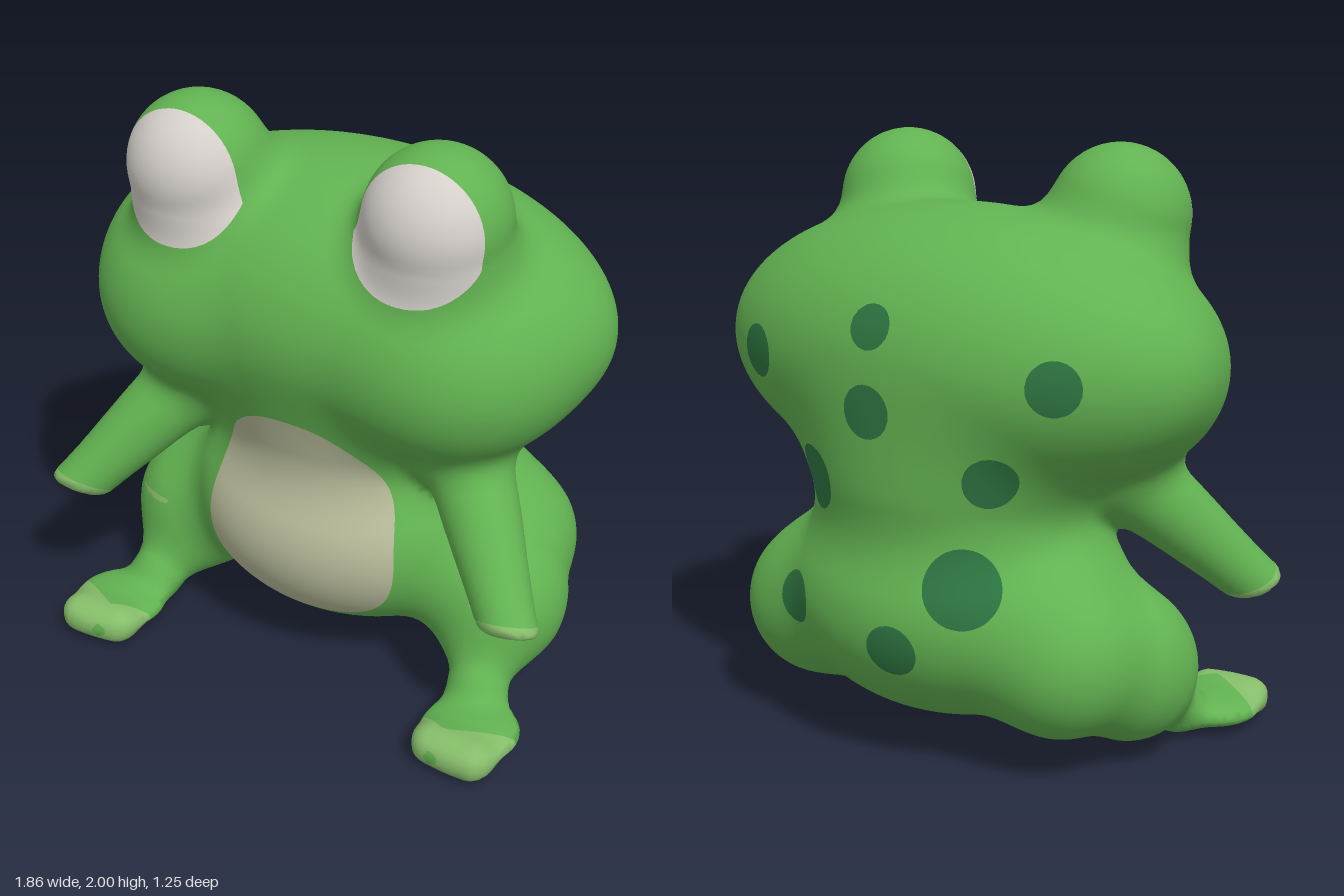
import * as THREE from 'three';
import { mergeVertices } from 'three/addons/utils/BufferGeometryUtils.js';

const V = (x, y, z) => new THREE.Vector3(x, y, z);
const paint = (name, color) => Object.assign(new THREE.MeshStandardMaterial({ color }), { name });

// --- Soft solids: each returns a signed distance, negative inside ---
function ellipsoid(p, cx, cy, cz, rx, ry, rz) {
  const x = (p.x - cx) / rx, y = (p.y - cy) / ry, z = (p.z - cz) / rz;
  const a = Math.hypot(x, y, z), b = Math.hypot(x / rx, y / ry, z / rz) || 1e-6;
  return a * (a - 1) / b;
}
function limb(p, a, b, ra, rb) {
  const dx = b[0] - a[0], dy = b[1] - a[1], dz = b[2] - a[2];
  const x = p.x - a[0], y = p.y - a[1], z = p.z - a[2];
  const t = Math.min(1, Math.max(0, (x * dx + y * dy + z * dz) / (dx * dx + dy * dy + dz * dz)));
  return Math.hypot(x - dx * t, y - dy * t, z - dz * t) - ra - (rb - ra) * t * t * (3 - 2 * t);
}
function blend(a, b, k) {
  const h = Math.max(k - Math.abs(a - b), 0) / k;
  return Math.min(a, b) - h * h * k / 4;
}

// --- Body parts; paired ones are described on +x and mirrored ---
const mirror = (p) => ({ x: Math.abs(p.x), y: p.y, z: p.z });
const head = (p) => blend(
  ellipsoid(p, 0, 1.325, -0.05, 0.912, 0.475, 0.54),
  ellipsoid(mirror(p), 0.44, 1.28, 0.12, 0.4, 0.35, 0.37), 0.1);
const torso = (p) => blend(
  ellipsoid(p, 0, 0.98, -0.105, 0.5, 0.5, 0.48),
  ellipsoid(p, 0, 0.505, -0.1, 0.61, 0.42, 0.525), 0.13);
const eyeBulge = (p) => limb(mirror(p), [0.43, 1.7, 0.19], [0.43, 1.767, 0.2], 0.23, 0.233);
// Sloping plane that ends the hand
const handEnd = (p) => (Math.abs(p.x) - 0.83) * 0.15 - (p.y - 0.53) * 0.88 + (p.z - 0.47) * 0.45;
const arm = (p) => -blend(
  -limb(mirror(p), [0.53, 0.92, 0.14], [0.878, 0.485, 0.475], 0.138, 0.092), -handEnd(p), 0.04);
function leg(p) {
  const q = mirror(p);
  let d = limb(q, [0.49, 0.395, -0.21], [0.58, 0.35, -0.01], 0.275, 0.245);
  d = blend(d, limb(q, [0.61, 0.25, 0.05], [0.65, 0.115, 0.24], 0.18, 0.098), 0.14);
  const foot = blend(ellipsoid(q, 0.71, 0.063, 0.42, 0.165, 0.053, 0.17),
    limb(q, [0.63, 0.063, 0.55], [0.785, 0.063, 0.56], 0.052, 0.054), 0.08);
  return blend(d, foot, 0.08);
}
const field = (p) => {
  let d = blend(head(p), torso(p), 0.14);
  d = blend(d, eyeBulge(p), 0.12);
  d = blend(d, leg(p), 0.12);
  return blend(d, arm(p), 0.11);
};
function gradient(p) {
  const e = 0.002, at = (x, y, z) => field({ x: p.x + x, y: p.y + y, z: p.z + z });
  return V(at(e, 0, 0) - at(-e, 0, 0), at(0, e, 0) - at(0, -e, 0), at(0, 0, e) - at(0, 0, -e)).divideScalar(2 * e);
}
// Slide a point onto the skin
function settle(p) {
  for (let i = 0; i < 4; i++) {
    const g = gradient(p);
    p.addScaledVector(g, -field(p) / Math.max(g.lengthSq(), 0.2));
  }
  return p;
}

// --- Skin: one point per crossed grid cell, one quad per crossed grid edge ---
function buildSkin() {
  const h = 0.025, N = [83, 86, 59], O = [-1.03, -0.05, -0.73];
  const step = [1, N[0], N[0] * N[1]], values = new Float32Array(N[0] * N[1] * N[2]);
  const place = (i, s) => V(O[0] + (i % N[0] + s) * h,
    O[1] + (Math.floor(i / N[0]) % N[1] + s) * h, O[2] + (Math.floor(i / step[2]) + s) * h);
  for (let i = 0; i < values.length; i++) values[i] = field(place(i, 0));
  const points = new Map(), tris = [];
  const cell = (i) => {
    if (!points.has(i)) points.set(i, settle(place(i, 0.5)));
    return points.get(i);
  };
  for (let i = 0; i < values.length; i++) for (let a = 0; a < 3; a++) {
    const j = i + step[a];
    if (j >= values.length || (values[i] < 0) === (values[j] < 0)) continue;
    const b = step[(a + 1) % 3], c = step[(a + 2) % 3];
    const q = [i, i - b, i - b - c, i - c].map(cell);
    if (values[i] >= 0) q.reverse();
    tris.push([q[0], q[1], q[2]], [q[0], q[2], q[3]]);
  }
  return tris;
}

// Cut triangles along g = 0 into [inside, outside]
function cut(tris, g) {
  const sides = [[], []];
  for (const t of tris) {
    const d = t.map(g), poly = [[], []];
    for (let i = 0; i < 3; i++) {
      const j = (i + 1) % 3;
      poly[d[i] >= 0 ? 0 : 1].push(t[i]);
      if ((d[i] >= 0) !== (d[j] >= 0)) {
        const m = t[i].clone().lerp(t[j], d[i] / (d[i] - d[j]));
        poly[0].push(m);
        poly[1].push(m);
      }
    }
    poly.forEach((p, s) => {
      for (let k = 2; k < p.length; k++) sides[s].push([p[0], p[k - 1], p[k]]);
    });
  }
  return sides;
}

// --- Painted regions, positive inside ---
const oval = (x, y, n) => 1 - Math.pow(Math.abs(x) ** n + Math.abs(y) ** n, 1 / n);
const eyeWhite = (p) => Math.min(p.z - 0.303, p.y - 1.4,
  0.22 * oval((Math.abs(p.x) - 0.42) / 0.226, (p.y - 1.77) / 0.214, 2.25));
const belly = (p) => {
  const t = (p.y - 0.635) / 0.395, w = Math.max(0.1, 0.35 - 0.07 * t);
  return Math.min(p.z, 0.3 * oval(p.x / w, t, 2.4));
};
const fingertip = (p) => Math.min(p.y - 0.4, Math.abs(p.x) - 0.6, handEnd(p) + 0.042);
const toes = (p) => Math.min(0.2 - p.y, p.z - 0.53 + 0.6 * Math.abs(Math.abs(p.x) - 0.67),
  Math.hypot(Math.abs(p.x) - 0.665, p.y - 0.065, p.z - 0.61) - 0.028);
const spotList = [
  [0.54, 1.315, -0.47, 0.09], [0, 1.47, -0.56, 0.075], [0, 1.205, -0.58, 0.088],
  [-0.59, 1.33, -0.42, 0.088], [0.3, 0.925, -0.53, 0.11], [-0.385, 1.0, -0.46, 0.09],
  [-0.305, 0.655, -0.5, 0.128], [0.37, 0.505, -0.53, 0.09], [-0.1, 0.44, -0.6, 0.09],
].map(([x, y, z, r]) => ({ c: settle(V(x, y, z)), r }));
const spots = (p) => Math.max(...spotList.map((s) => s.r - s.c.distanceTo(p)));

export function createModel() {
  const model = new THREE.Group();
  model.name = 'frog';
  const green = paint('skin green', 0x62b251), white = paint('eye white', 0xd4cfc9);
  const cream = paint('belly cream', 0xb8bc9a), dark = paint('spot green', 0x2e7541);
  const pale = paint('toe green', 0x86bd6a);

  const add = (name, tris, material) => {
    const geo = new THREE.BufferGeometry().setFromPoints(tris.flat());
    const normals = tris.flat().flatMap((p) => gradient(p).normalize().toArray());
    geo.setAttribute('normal', new THREE.Float32BufferAttribute(normals, 3));
    const mesh = new THREE.Mesh(mergeVertices(geo), material);
    mesh.name = name;
    model.add(mesh);
  };
  const addPair = (name, tris, material) => {
    const [left, right] = cut(tris, (p) => p.x);
    add('left' + name, left, material);
    add('right' + name, right, material);
  };

  let rest = buildSkin(), piece;
  const take = (g) => { [piece, rest] = cut(rest, g); return piece; };

  // Coloured areas first
  addPair('EyeWhite', take(eyeWhite), white);
  add('belly', take(belly), cream);
  addPair('Fingertips', take(fingertip), pale);
  addPair('Toes', take(toes), pale);
  add('backSpots', take(spots), dark);

  // Then the green parts, divided where one solid meets the next
  const trunk = (p) => Math.min(head(p), torso(p));
  addPair('EyeBulge', take((p) => trunk(p) - eyeBulge(p)), green);
  addPair('Arm', take((p) => Math.min(trunk(p), leg(p)) - arm(p)), green);
  addPair('Leg', take((p) => torso(p) - leg(p)), green);
  add('head', take((p) => torso(p) - head(p)), green);
  add('torso', rest, green);
  return model;
}
